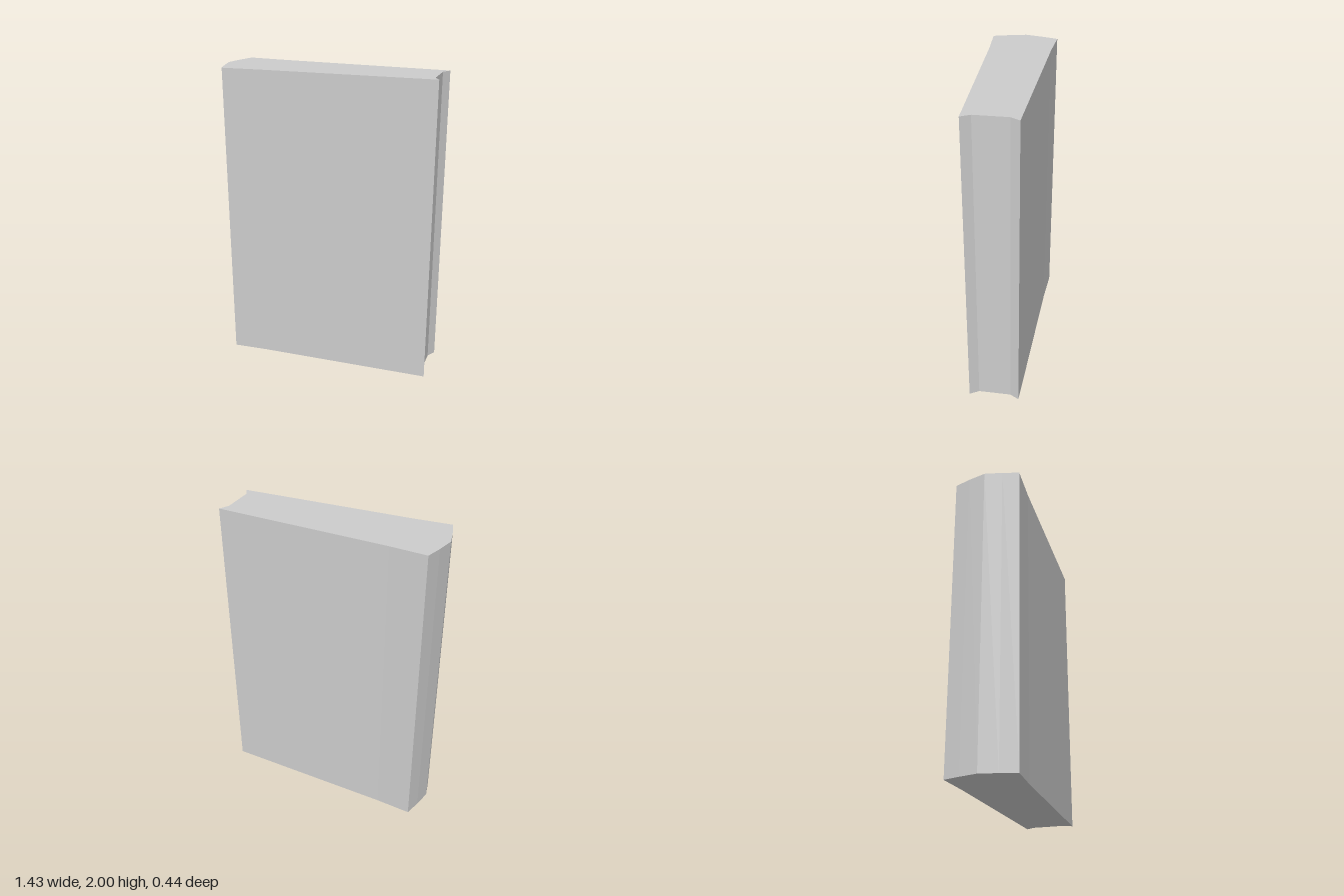
import * as THREE from 'three';

export function createModel() {
  const group = new THREE.Group();
  group.name = 'book';

  // Half outline from the spine ridge to the recessed page edge (x, half thickness)
  const half = [
    [-0.717, 0], // spine ridge
    [-0.69, 0.114],
    [-0.658, 0.219], // cover hinge
    [-0.42, 0.203],
    [0.717, 0.164], // cover lip
    [0.683, 0.105], // hollow of the page edge
  ];
  const mirrored = half.slice(1).reverse().map(([x, z]) => [x, -z]);
  const outline = [...half, ...mirrored].map(([x, z]) => new THREE.Vector2(x, z));

  // Extruded to the full height and stood upright
  const geometry = new THREE.ExtrudeGeometry(new THREE.Shape(outline), { depth: 2, bevelEnabled: false });
  geometry.rotateX(-Math.PI / 2);

  const body = new THREE.Mesh(geometry, new THREE.MeshStandardMaterial({ color: 0xcccccc, flatShading: true }));
  body.name = 'bookBody';
  group.add(body);
  return group;
}
